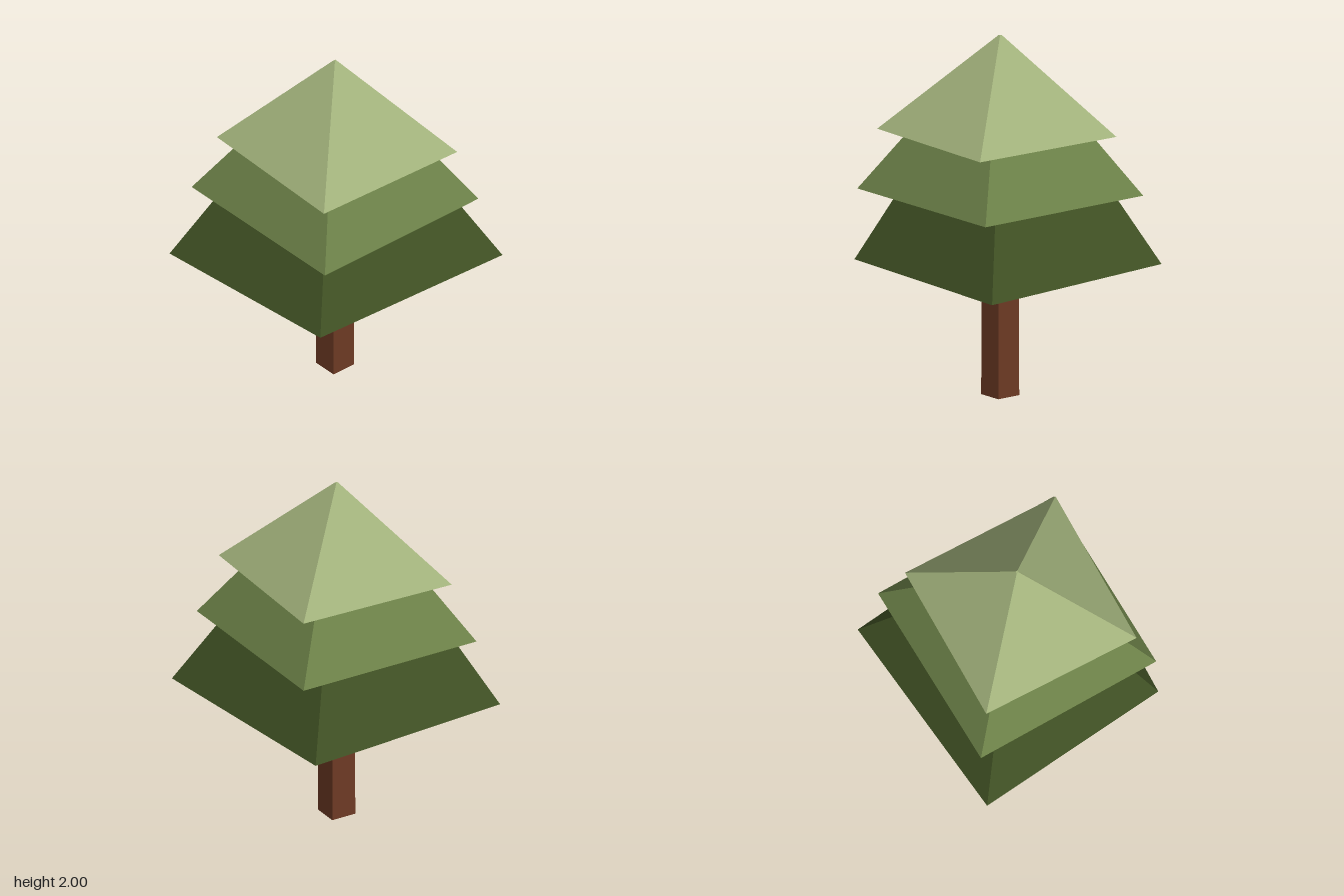
import * as THREE from 'three';

const mat = (name, color) => {
  const m = new THREE.MeshStandardMaterial({ color });
  m.name = name;
  return m;
};

// Four-cornered loft through rings of [x, z] corners, each at a height y.
// The lowest `underRows` side rows and the base cap use the second material.
function loft(name, rings, materials, underRows = 0) {
  const side = [], under = [];
  const put = (list, ...points) => points.forEach((p) => list.push(...p));
  const levels = rings.map(({ y, corners }) => corners.map(([x, z]) => [x, y, z]));
  for (let r = 0; r < levels.length - 1; r++) {
    const lo = levels[r], hi = levels[r + 1];
    for (let i = 0; i < 4; i++) {
      const j = (i + 1) % 4;
      put(r < underRows ? under : side, lo[j], lo[i], hi[i], lo[j], hi[i], hi[j]);
    }
  }
  const [b0, b1, b2, b3] = levels[0];
  const [t0, t1, t2, t3] = levels[levels.length - 1];
  put(under, b0, b1, b2, b0, b2, b3);
  put(side, t3, t2, t1, t3, t1, t0);

  const geo = new THREE.BufferGeometry();
  geo.setAttribute('position', new THREE.Float32BufferAttribute([...side, ...under], 3));
  geo.addGroup(0, side.length / 3, 0);
  geo.addGroup(side.length / 3, under.length / 3, 1);
  geo.computeVertexNormals();
  const mesh = new THREE.Mesh(geo, materials);
  mesh.name = name;
  return mesh;
}

// Shrinks a ring of corners towards a centre on the trunk axis
const shrink = (corners, s, cz) => corners.map(([x, z]) => [x * s, cz + (z - cz) * s]);
const square = (h, cz) => [[-h, cz - h], [h, cz - h], [h, cz + h], [-h, cz + h]];

export function createModel() {
  const bark = mat('bark brown', 0x6d3a24);
  const dark = mat('dark green', 0x405124);
  const mid = mat('mid green', 0x6c8148);
  const light = mat('light green', 0xa1b17b);
  const axisZ = 0.034;
  const tree = new THREE.Group();
  tree.name = 'pineTree';

  // Square trunk, slightly slimmer above
  tree.add(loft('trunk', [
    { y: 0, corners: square(0.073, axisZ) },
    { y: 0.36, corners: square(0.072, axisZ) },
    { y: 0.74, corners: square(0.07, axisZ) },
  ], [bark, bark]));

  // Lower tier, a twisted square
  const low = [[-0.675, -0.55], [0.55, -0.64], [0.672, 0.637], [-0.577, 0.578]];
  tree.add(loft('lowerFoliage', [
    { y: 0.727, corners: low },
    { y: 1.2, corners: shrink(low, 0.635, 0.02) },
  ], [dark, dark]));

  // Middle tier with a dark underside
  tree.add(loft('middleFoliage', [
    { y: 1.127, corners: square(0.548, axisZ) },
    { y: 1.54, corners: square(0.3, axisZ) },
  ], [mid, dark]));

  // Top tier, a pointed cap with a shallow underside lip
  const top = [[-0.448, -0.422], [0.472, -0.39], [0.44, 0.532], [-0.482, 0.498]];
  tree.add(loft('topFoliage', [
    { y: 1.451, corners: shrink(top, 0.9, axisZ) },
    { y: 1.459, corners: top },
    { y: 2, corners: square(0.007, axisZ) },
  ], [light, mid], 1));

  return tree;
}
